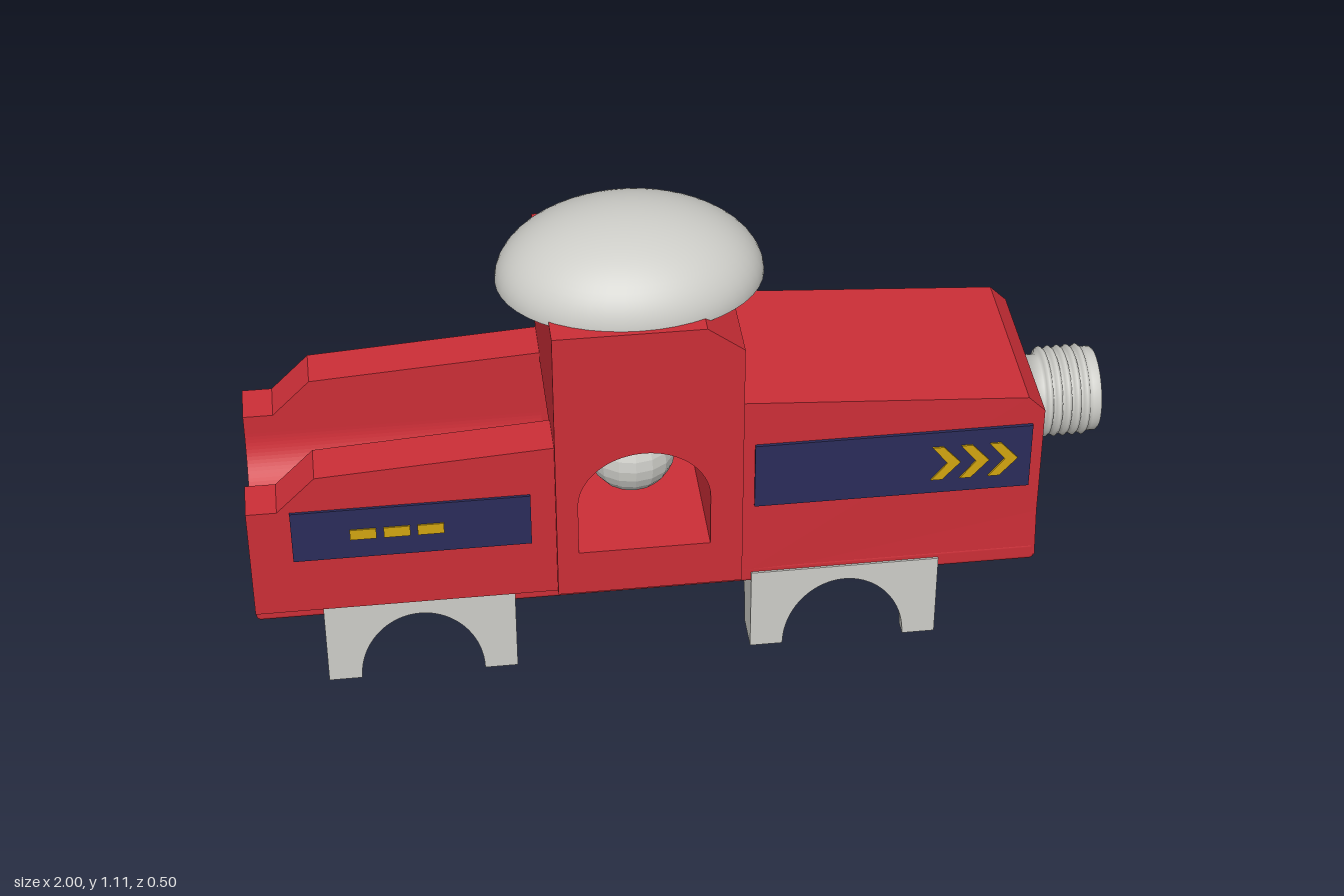
import * as THREE from 'three';
import { RoundedBoxGeometry } from 'three/addons/geometries/RoundedBoxGeometry.js';

const material = (name, color) => {
  const m = new THREE.MeshStandardMaterial({ color });
  m.name = name;
  return m;
};

const shapeOf = (points) => new THREE.Shape(points.map(([x, y]) => new THREE.Vector2(x, y)));

// Extrude a side profile (x, y) between two z positions
function slab(shape, z0, z1) {
  const geo = new THREE.ExtrudeGeometry(shape, { depth: z1 - z0, bevelEnabled: false, curveSegments: 24 });
  return geo.translate(0, 0, z0);
}

// Extrude an end profile (z, y) between two x positions
function slabAlongX(shape, x0, x1) {
  return slab(shape, x0, x1).rotateY(Math.PI / 2);
}

// Wall with an elliptical arch cut from its lower edge
function archWall(half, height, rx, ry) {
  const s = new THREE.Shape();
  s.moveTo(-half, 0);
  s.lineTo(-rx, 0);
  s.absellipse(0, 0, rx, ry, Math.PI, 0, true);
  s.lineTo(half, 0);
  s.lineTo(half, height);
  s.lineTo(-half, height);
  s.closePath();
  return s;
}

export function createModel() {
  const red = material('red body', 0xcc2e37);
  const grey = material('light grey', 0xcdcdc8);
  const navy = material('navy panel', 0x2b2c5a);
  const yellow = material('yellow marking', 0xd2a510);

  const model = new THREE.Group();
  model.name = 'model';
  const add = (name, geo, mat, parent = model) => {
    const mesh = new THREE.Mesh(geo, mat);
    mesh.name = name;
    parent.add(mesh);
    return mesh;
  };

  // Floor running the whole length
  add('baseSlab', new RoundedBoxGeometry(1.834, 0.05, 0.45, 3, 0.012).translate(-0.083, 0.219, 0), red);

  // Rear section: two side walls and a rounded channel between them
  const rearProfile = shapeOf([[-1, 0.225], [-0.3, 0.225], [-0.3, 0.645], [-0.84, 0.61], [-0.93, 0.52], [-1, 0.52]]);
  add('rearWallLeft', slab(rearProfile, 0.13, 0.235), red);
  add('rearWallRight', slab(rearProfile, -0.235, -0.13), red);
  const channel = new THREE.Shape();
  channel.moveTo(-0.13, 0.225);
  channel.lineTo(0.13, 0.225);
  channel.lineTo(0.13, 0.47);
  channel.absarc(0, 0.47, 0.13, 0, Math.PI, true);
  channel.closePath();
  add('rearChannel', slabAlongX(channel, -1, -0.3), red);

  // Front section, flaring slightly toward its foot
  const frontProfile = shapeOf([[0.12, 0.21], [0.833, 0.21], [0.83, 0.34], [0.83, 0.635], [0.79, 0.675], [0.12, 0.72]]);
  const front = slab(frontProfile, -0.221, 0.221);
  const pos = front.attributes.position;
  for (let i = 0; i < pos.count; i++) {
    if (pos.getY(i) < 0.3) pos.setZ(i, pos.getZ(i) * 1.018);
  }
  front.computeVertexNormals();
  add('frontSection', front, red);

  // Tower: outer cheeks with an arched window
  const towerOutline = [[-0.3, 0.225], [0.13, 0.225], [0.13, 0.89], [0.045, 0.955], [-0.3, 0.955]];
  const cheek = shapeOf(towerOutline);
  const windowHole = new THREE.Path();
  windowHole.moveTo(-0.25, 0.345);
  windowHole.lineTo(-0.25, 0.48);
  windowHole.absellipse(-0.0975, 0.48, 0.1525, 0.142, Math.PI, 0, true);
  windowHole.lineTo(0.055, 0.345);
  windowHole.closePath();
  cheek.holes.push(windowHole);
  add('towerCheekLeft', slab(cheek, 0.13, 0.25), red);
  add('towerCheekRight', slab(cheek, -0.25, -0.13), red);

  // Tower core, open toward the rear channel
  const core = new THREE.Shape();
  core.moveTo(-0.3, 0.225);
  core.lineTo(0.13, 0.225);
  core.lineTo(0.13, 0.89);
  core.lineTo(0.045, 0.955);
  core.lineTo(-0.3, 0.955);
  core.lineTo(-0.3, 0.622);
  core.lineTo(-0.0975, 0.622);
  core.absellipse(-0.0975, 0.48, 0.1525, 0.142, Math.PI / 2, 0, true);
  core.lineTo(0.055, 0.345);
  core.lineTo(-0.3, 0.345);
  core.closePath();
  add('towerCore', slab(core, -0.13, 0.13), red);

  // Faceted ball inside the tower
  const ball = new THREE.SphereGeometry(0.105, 16, 12).toNonIndexed();
  ball.computeVertexNormals();
  add('ball', ball, grey).position.set(-0.1, 0.45, 0);

  // Domed cap with a flat underside
  const cap = new THREE.Group();
  cap.name = 'cap';
  cap.position.set(-0.1, 0.945, 0);
  add('capDome', new THREE.SphereGeometry(1, 48, 20, 0, Math.PI * 2, 0, Math.PI / 2).scale(0.305, 0.165, 0.24), grey, cap);
  add('capUnderside', new THREE.CircleGeometry(1, 48).rotateX(Math.PI / 2).scale(0.305, 1, 0.24), grey, cap);
  model.add(cap);

  // Ribbed knob on the front end
  const knobProfile = [[0, 0], [0.09, 0], [0.09, 0.035]];
  for (let i = 0; i < 5; i++) {
    const h = 0.035 + i * 0.022;
    knobProfile.push([0.103, h + 0.004], [0.108, h + 0.011], [0.103, h + 0.018], [0.093, h + 0.022]);
  }
  knobProfile.push([0.1, 0.15], [0.1, 0.165], [0.096, 0.17], [0.096, 0.17], [0, 0.17]);
  const knob = new THREE.LatheGeometry(knobProfile.map(([r, h]) => new THREE.Vector2(r, h)), 40);
  add('knob', knob.rotateZ(-Math.PI / 2).translate(0.83, 0.52, 0), grey);

  // Hollow arched feet
  const sideArch = archWall(0.2225, 0.225, 0.145, 0.185);
  const endArch = archWall(0.23, 0.225, 0.14, 0.175);
  for (const [name, x] of [['rearFeet', -0.622], ['frontFeet', 0.378]]) {
    const feet = new THREE.Group();
    feet.name = name;
    feet.position.x = x;
    add('archLeft', slab(sideArch, 0.195, 0.23), grey, feet);
    add('archRight', slab(sideArch, -0.23, -0.195), grey, feet);
    add('archFront', slabAlongX(endArch, 0.1875, 0.2225), grey, feet);
    add('archRear', slabAlongX(endArch, -0.2225, -0.1875), grey, feet);
    model.add(feet);
  }

  // Side panels with dashes and chevrons, on both sides
  const plate = (x0, x1, y0, y1, z, t) =>
    new THREE.BoxGeometry(x1 - x0, y1 - y0, t).translate((x0 + x1) / 2, (y0 + y1) / 2, z);
  for (const side of [1, -1]) {
    const panels = new THREE.Group();
    panels.name = side > 0 ? 'leftPanels' : 'rightPanels';
    add('rearPanel', plate(-0.902, -0.357, 0.378, 0.517, side * 0.237, 0.008), navy, panels);
    add('frontPanel', plate(0.16, 0.803, 0.425, 0.6, side * 0.225, 0.008), navy, panels);
    for (let i = 0; i < 3; i++) {
      const d = -0.77 + i * 0.077;
      add('dash', plate(d, d + 0.06, 0.432, 0.46, side * 0.2415, 0.006), yellow, panels);
      const c = 0.57 + i * 0.067;
      const chevron = shapeOf([[c, 0.465], [c + 0.026, 0.465], [c + 0.067, 0.512],
        [c + 0.026, 0.559], [c, 0.559], [c + 0.037, 0.512]]);
      add('chevron', slab(chevron, side * 0.23 - 0.003, side * 0.23 + 0.003), yellow, panels);
    }
    model.add(panels);
  }

  return model;
}
